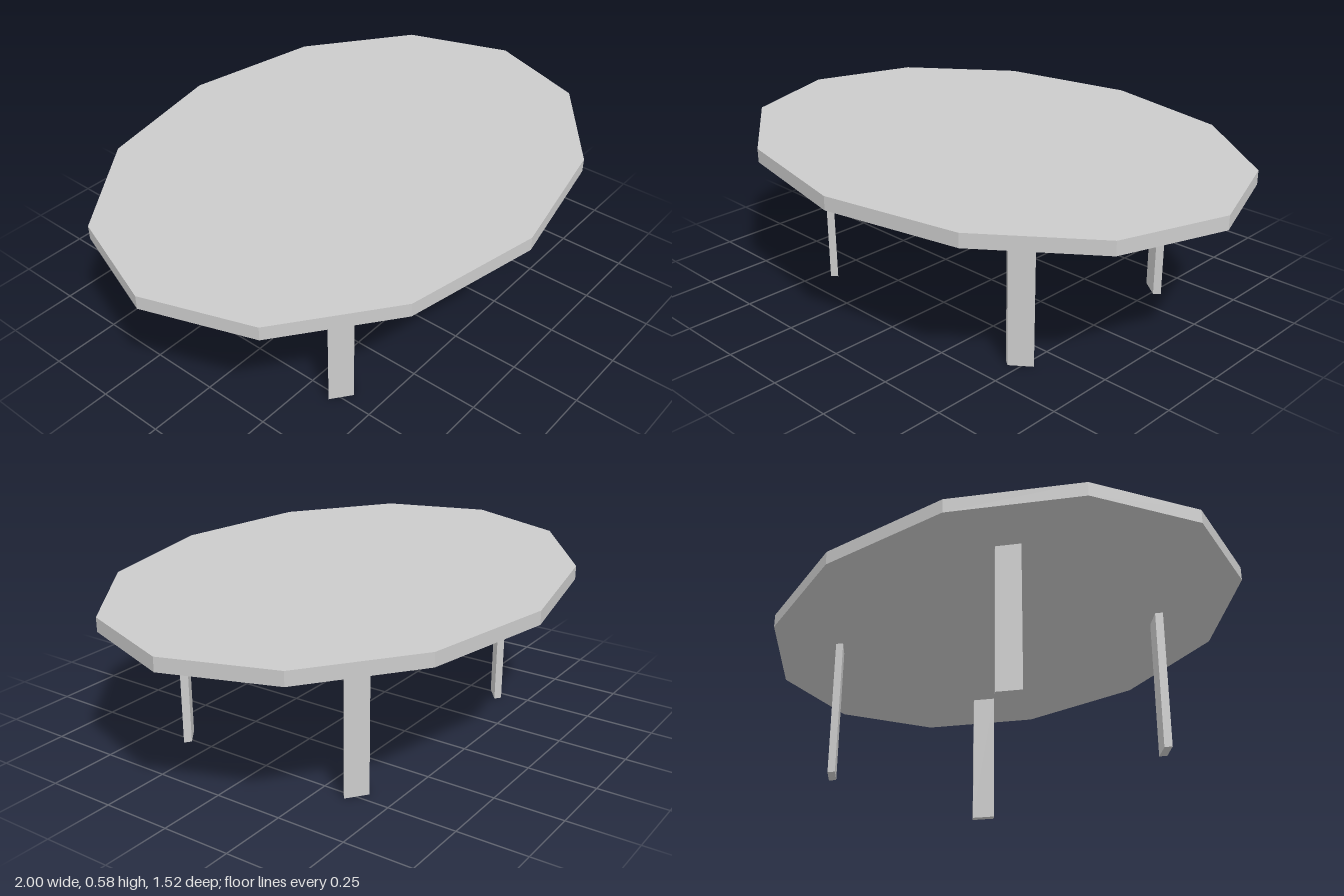
import * as THREE from 'three';

const SQUASH = 0.758;      // oval ratio in z, shared by top and legs
const LEG_HEIGHT = 0.527;
const TOP_THICKNESS = 0.05;

export function createModel() {
  const table = new THREE.Group();
  table.name = 'ovalTable';
  const material = new THREE.MeshStandardMaterial({ color: 0xcccccc, flatShading: true });

  const addPart = (geometry, name) => {
    geometry.scale(1, 1, SQUASH);
    const mesh = new THREE.Mesh(geometry, material);
    mesh.name = name;
    table.add(mesh);
  };

  // Twelve-sided oval top
  const top = new THREE.CylinderGeometry(1, 1, TOP_THICKNESS, 12);
  top.translate(0, LEG_HEIGHT + TOP_THICKNESS / 2, 0);
  addPart(top, 'tableTop');

  // Four plank legs on the diagonals, broad side facing outward
  const names = ['backLeftLeg', 'backRightLeg', 'frontRightLeg', 'frontLeftLeg'];
  names.forEach((name, i) => {
    const leg = new THREE.BoxGeometry(0.032, LEG_HEIGHT, 0.099);
    leg.translate(0.688, LEG_HEIGHT / 2, 0);
    leg.rotateY(Math.PI / 4 + i * Math.PI / 2);
    addPart(leg, name);
  });

  return table;
}
